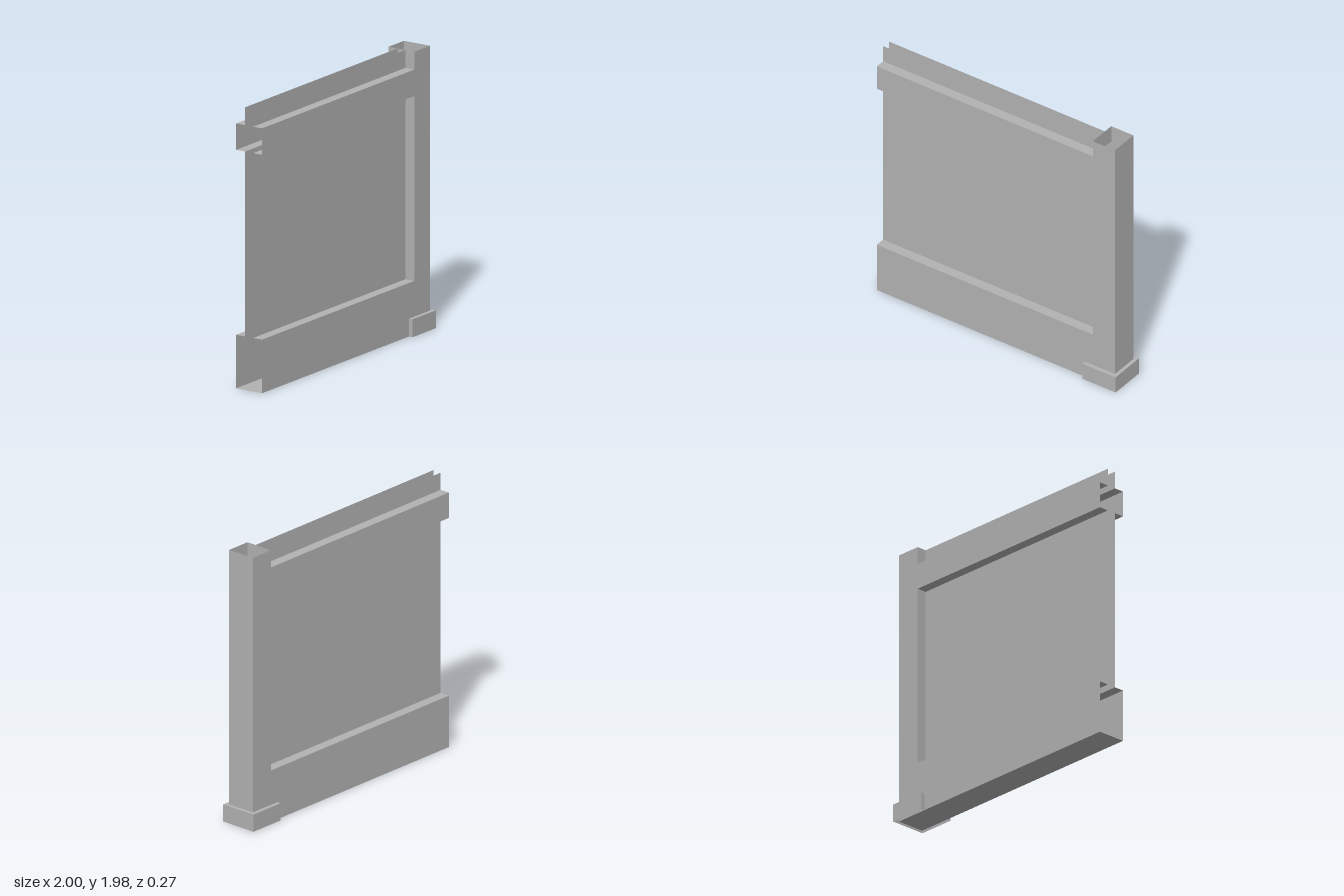
import * as THREE from 'three';

const grey = new THREE.MeshStandardMaterial({ color: 0xb2b2b2, side: THREE.DoubleSide });
grey.name = 'plainGrey';

const END = -1, IN = 0.79, OUT = 0.973, TOP = 1.98; // open end, post inner and outer side, height
const Z = 0.107, SHEET = 0.033;                     // half depth of frame and of panel
const BX = 0.725, BZ = 0.137, BH = 0.125;           // base block start, half depth, height
const RAIL = { low: 0.375, under: 1.67, over: 1.855 };

export function createModel() {
  const model = new THREE.Group();

  const add = (name, geometry) => {
    const mesh = new THREE.Mesh(geometry, grey);
    mesh.name = name;
    model.add(mesh);
    return mesh;
  };
  const shape = (points) => new THREE.ShapeGeometry(
    new THREE.Shape(points.map(([x, y]) => new THREE.Vector2(x, y))));

  // thin rectangles lying across one axis
  const acrossX = (name, x, y0, y1, z0, z1) => add(name, new THREE.PlaneGeometry(z1 - z0, y1 - y0)
    .rotateY(Math.PI / 2).translate(x, (y0 + y1) / 2, (z0 + z1) / 2));
  const acrossY = (name, y, x0, x1, z0, z1) => add(name, new THREE.PlaneGeometry(x1 - x0, z1 - z0)
    .rotateX(-Math.PI / 2).translate((x0 + x1) / 2, y, (z0 + z1) / 2));
  const acrossZ = (name, z, x0, x1, y0, y1) => add(name, new THREE.PlaneGeometry(x1 - x0, y1 - y0)
    .translate((x0 + x1) / 2, (y0 + y1) / 2, z));

  // post and both rails share one flat face on each side
  const face = [[END, 0], [OUT, 0], [OUT, TOP], [IN, TOP], [IN, RAIL.over], [END, RAIL.over],
    [END, RAIL.under], [IN, RAIL.under], [IN, RAIL.low], [END, RAIL.low]];

  for (const s of [1, -1]) {
    const side = s > 0 ? 'front' : 'back';
    add(side + 'FrameFace', shape(face).translate(0, 0, s * Z));

    // ledges between frame face and panel
    const z0 = Math.min(s * SHEET, s * Z), z1 = Math.max(s * SHEET, s * Z);
    for (const [name, y] of Object.entries(RAIL))
      acrossY(`${side}RailLedge_${name}`, y, END, IN, z0, z1);

    // recessed panel sheets, in the opening and above the upper rail
    acrossZ(side + 'Panel', s * SHEET, END, IN, RAIL.low, RAIL.under);
    acrossZ(side + 'TopStrip', s * SHEET, END, IN, RAIL.over, TOP);

    // base block sides, with their ends against the frame
    acrossZ(side + 'BaseSide', s * BZ, BX, 1, 0, BH);
    acrossX(side + 'BaseEnd', BX, 0, BH, Math.min(s * Z, s * BZ), Math.max(s * Z, s * BZ));
  }

  // hollow post, open at the top
  acrossX('postOuterSide', OUT, 0, TOP, -Z, Z);
  acrossX('postInnerSideTop', IN, RAIL.over, TOP, -Z, Z);
  acrossX('postInnerSide', IN, RAIL.low, RAIL.under, -Z, Z);
  acrossY('frameBottom', 0, END, OUT, -Z, Z);

  // base block wraps the post foot
  acrossX('baseOuterSide', 1, 0, BH, -BZ, BZ);
  add('baseTop', shape([[BX, -BZ], [1, -BZ], [1, BZ], [BX, BZ], [BX, Z], [OUT, Z], [OUT, -Z], [BX, -Z]])
    .rotateX(-Math.PI / 2).translate(0, BH, 0));

  return model;
}
